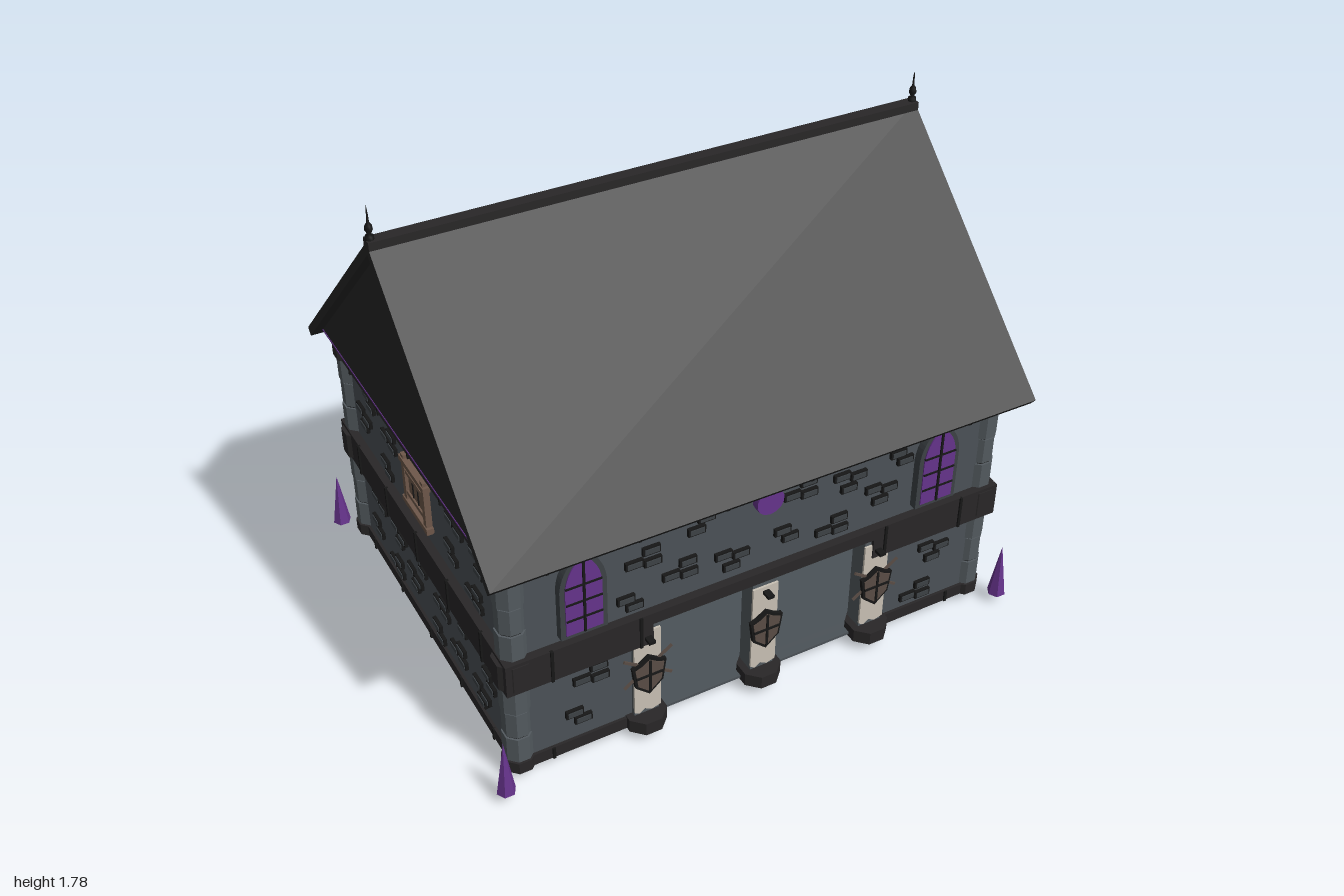
import * as THREE from 'three';
import { mergeGeometries } from 'three/addons/utils/BufferGeometryUtils.js';

const colour = (name, hex) => {
  const m = new THREE.MeshStandardMaterial({ color: hex });
  m.name = name;
  return m;
};

export function createModel() {
  const stone = colour('wall stone', 0x4b5257), brickMat = colour('brick grey', 0x3d4246);
  const corner = colour('corner stone', 0x535a5f), black = colour('seam black', 0x171717);
  const roofMat = colour('roof slate', 0x262626), beam = colour('dark beam', 0x292728);
  const purple = colour('purple', 0x66348c), cloth = colour('banner cloth', 0xc9c1b5);
  const wood = colour('wood', 0x6e584a), shieldMat = colour('shield brown', 0x5a4d45);
  const model = new THREE.Group();

  const add = (parent, name, geo, mat, x = 0, y = 0, z = 0) => {
    const m = new THREE.Mesh(geo, mat);
    m.name = name;
    m.position.set(x, y, z);
    parent.add(m);
    return m;
  };
  // box given by its limits
  const block = (parent, name, mat, x0, x1, y0, y1, z0, z1) =>
    add(parent, name, new THREE.BoxGeometry(x1 - x0, y1 - y0, z1 - z0), mat, (x0 + x1) / 2, (y0 + y1) / 2, (z0 + z1) / 2);
  const group = (name, x = 0, y = 0, z = 0, ry = 0) => {
    const g = new THREE.Group();
    g.name = name;
    g.position.set(x, y, z);
    g.rotation.y = ry;
    model.add(g);
    return g;
  };
  const polygon = pts => new THREE.Shape(pts.map(p => new THREE.Vector2(...p)));
  const extrude = (shape, depth) => new THREE.ExtrudeGeometry(shape, { depth, bevelEnabled: false, curveSegments: 10 });
  // profile drawn in (z, y), extruded along x and centred
  const alongX = (pts, length) => extrude(polygon(pts), length).translate(0, 0, -length / 2).rotateY(Math.PI / 2);

  // Walls: hollow, with a wide opening in the front
  const front = polygon([[-0.9, 0.05], [0.9, 0.05], [0.9, 0.9], [-0.9, 0.9]]);
  front.holes.push(new THREE.Path([[-0.42, 0.06], [-0.42, 0.48], [0.42, 0.48], [0.42, 0.06]].map(p => new THREE.Vector2(...p))));
  add(model, 'frontWall', extrude(front, 0.05), stone, 0, 0, 0.645);
  block(model, 'backWall', stone, -0.9, 0.9, 0.05, 0.9, -0.695, -0.645);
  for (const s of [-1, 1]) add(model, 'sideWall', new THREE.BoxGeometry(0.05, 0.85, 1.3), stone, s * 0.875, 0.475, 0);

  // Bricks: staggered clusters on every wall, each a dark edge with a grey face
  const edges = [], faces = [];
  const brick = (x, y, ry, off) => {
    const place = g => g.rotateY(ry);
    edges.push(place(new THREE.BoxGeometry(0.062, 0.03, 0.016).translate(x, y, off + 0.004)));
    faces.push(place(new THREE.BoxGeometry(0.05, 0.019, 0.02).translate(x, y, off + 0.005)));
  };
  const clusters = [[[0, 0], [0.03, -0.036]], [[0.03, 0.018], [-0.03, -0.018], [0.035, -0.03]], [[-0.03, 0.036], [0.035, 0.02], [0, -0.02]]];
  const brickWall = (half, ry, off, skip) => {
    const n = Math.round(half * 2 / 0.19);
    for (const [row, y] of [0.175, 0.325, 0.625, 0.775].entries())
      for (let i = 0; i < n; i++) {
        const x = (i + 0.5 - n / 2) * 0.19 + (row % 2 ? 0.03 : -0.03);
        const cy = y + (i % 2 ? -0.025 : 0.025);
        if (skip(x, cy)) continue;
        for (const [dx, dy] of clusters[(i + row) % 3])
          if (Math.abs(x + dx) < half) brick(x + dx, cy + dy, ry, off);
      }
  };
  brickWall(0.79, 0, 0.695, (x, y) => (y < 0.5 && Math.abs(x) < 0.54) || (y > 0.5 && Math.abs(Math.abs(x) - 0.66) < 0.13) || (y > 0.7 && Math.abs(x) < 0.09));
  brickWall(0.79, Math.PI, 0.695, () => false);
  brickWall(0.79, 0, -0.645, (x, y) => y > 0.5);
  for (const s of [-1, 1]) brickWall(0.59, s * Math.PI / 2, 0.9, (x, y) => y > 0.5 && Math.abs(x) < 0.15);
  add(model, 'brickEdges', mergeGeometries(edges), black);
  add(model, 'brickFaces', mergeGeometries(faces), brickMat);

  // Bands around the house with raised seams
  const bands = group('bands');
  for (const [y0, y1, out] of [[0.04, 0.085, 0.01], [0.4, 0.525, 0.03], [0.835, 0.915, 0.025]]) {
    const X = 0.9 + out, Z = 0.695 + out, mid = y0 === 0.4;
    block(bands, 'backBand', beam, -X, X, y0, y1, -Z, -0.62);
    for (const s of [-1, 1]) {
      add(bands, 'sideBand', new THREE.BoxGeometry(0.08, y1 - y0, 2 * Z), beam, s * (X - 0.04), (y0 + y1) / 2, 0);
      if (y1 < 0.6) add(bands, 'frontBand', new THREE.BoxGeometry(X - 0.42, y1 - y0, 0.08), beam, s * (X + 0.42) / 2, (y0 + y1) / 2, Z - 0.04);
      for (let i = -2; i <= 2; i++) add(bands, 'sideSeam', new THREE.BoxGeometry(0.012, y1 - y0, 0.01), black, s * X, (y0 + y1) / 2, i * 0.27);
      for (let i = -2.5; i <= 2.5; i++) {
        if (s > 0 && y1 < 0.6 && Math.abs(i) < 1.5) continue;
        add(bands, 'seam', new THREE.BoxGeometry(0.01, y1 - y0, 0.012), black, i * 0.31, (y0 + y1) / 2, s * Z);
      }
    }
    if (mid) block(bands, 'lintel', beam, -0.43, 0.43, 0.48, y1, 0.645, Z);
    if (y0 > 0.8) block(bands, 'topFrontBand', beam, -X, X, y0, y1, 0.645, Z);
  }

  // Eight-sided corner columns, spikes beside them
  const octagon = (apothem, h) => new THREE.CylinderGeometry(apothem / Math.cos(Math.PI / 8), apothem / Math.cos(Math.PI / 8), h, 8, 1, false, Math.PI / 8).toNonIndexed();
  const flat = g => { g.computeVertexNormals(); return g; };
  for (const sx of [-1, 1]) for (const sz of [-1, 1]) {
    const g = group('cornerColumn', sx * 0.88, 0, sz * 0.665);
    add(g, 'core', flat(octagon(0.041, 0.85)), black, 0, 0.475, 0);
    for (const [y0, y1] of [[0.085, 0.4], [0.525, 0.835]])
      for (let i = 0; i < 3; i++) {
        const h = (y1 - y0) / 3;
        add(g, 'quoin', flat(octagon(i % 2 ? 0.045 : 0.048, h - 0.006)), corner, 0, y0 + (i + 0.5) * h, 0);
      }
    add(g, 'foot', flat(octagon(0.053, 0.045)), beam, 0, 0.0625, 0);
    add(g, 'middleCollar', flat(octagon(0.063, 0.1)), beam, 0, 0.4625, 0);
    add(g, 'topCollar', flat(octagon(0.057, 0.08)), beam, 0, 0.875, 0);
    add(model, 'cornerSpike', flat(new THREE.ConeGeometry(0.033, 0.21, 6, 1, false, Math.PI / 6).toNonIndexed()), purple, sx * 0.968, 0.145, sz * 0.757);
  }

  // Roof shell, gable body, ridge and finials
  add(model, 'roof', alongX([[0, 1.655], [-0.79, 0.905], [-0.77, 0.88], [0, 1.612], [0.77, 0.88], [0.79, 0.905]], 1.97), roofMat);
  add(model, 'gables', alongX([[-0.69, 0.945], [0.69, 0.945], [0, 1.6]], 1.92), roofMat);
  block(model, 'gableTrim', purple, -0.962, 0.962, 0.941, 0.947, -0.69, 0.69);
  block(model, 'ridgeCap', beam, -0.985, 0.985, 1.63, 1.663, -0.022, 0.022);
  const finial = [[0.014, 0], [0.014, 0.015], [0.006, 0.022], [0.013, 0.035], [0.011, 0.05], [0.004, 0.06], [0.003, 0.085], [0, 0.117]];
  for (const s of [-1, 1])
    add(model, 'finial', new THREE.LatheGeometry(finial.map(p => new THREE.Vector2(...p)), 10), black, s * 0.972, 1.66, 0);

  // Pointed front windows
  const arch = (w, h, r) => {
    const s = new THREE.Shape();
    s.moveTo(-w, 0); s.lineTo(w, 0); s.lineTo(w, h - r);
    s.quadraticCurveTo(w * 0.9, h - r * 0.3, 0, h);
    s.quadraticCurveTo(-w * 0.9, h - r * 0.3, -w, h - r);
    return s;
  };
  for (const s of [-1, 1]) {
    const g = group('frontWindow', s * 0.66, 0.55, 0.69);
    add(g, 'frame', extrude(arch(0.08, 0.325, 0.13), 0.034), brickMat);
    add(g, 'glass', extrude(arch(0.063, 0.295, 0.12), 0.005), purple, 0, 0.015, 0.033);
    block(g, 'mullion', black, -0.004, 0.004, 0.015, 0.3, 0.03, 0.043);
    for (const y of [0.075, 0.14, 0.205]) block(g, 'glazingBar', black, -0.062, 0.062, y - 0.003, y + 0.003, 0.03, 0.042);
  }
  add(model, 'smallRoundWindow', new THREE.CylinderGeometry(0.05, 0.05, 0.03, 14).rotateX(Math.PI / 2), purple, 0, 0.81, 0.71);

  // Shuttered side windows
  for (const s of [-1, 1]) {
    const g = group('sideWindow', s * 0.9, 0.685, 0, s * Math.PI / 2);
    block(g, 'backing', shieldMat, -0.085, 0.085, -0.09, 0.09, 0, 0.008);
    for (const t of [-1, 1]) {
      block(g, 'jamb', wood, t * 0.085 - 0.012, t * 0.085 + 0.012, -0.108, 0.108, 0, 0.022);
      block(g, 'rail', wood, -0.108, 0.108, t * 0.085 - 0.01, t * 0.085 + 0.01, 0, 0.026);
      block(g, 'crossBar', wood, -0.072, 0.072, t * 0.045 - 0.008, t * 0.045 + 0.008, 0, 0.02);
    }
    for (const x of [-0.045, 0, 0.045]) {
      block(g, 'plank', wood, x - 0.017, x + 0.017, -0.068, 0.068, 0, 0.014);
      block(g, 'gap', black, x + 0.018, x + 0.023, -0.05, 0.05, 0, 0.016);
    }
  }

  // Banner pillars with shields
  const banner = polygon([[-0.048, 0.11], [-0.03, 0.1], [-0.01, 0.115], [0.015, 0.1], [0.048, 0.11], [0.048, 0.452], [-0.048, 0.452]]);
  const shield = k => polygon([[0, -0.085], [0.05, -0.04], [0.062, 0.045], [0.035, 0.055], [0, 0.08], [-0.035, 0.055], [-0.062, 0.045], [-0.05, -0.04]].map(p => [p[0] * k, p[1] * k]));
  for (const x of [-0.44, 0, 0.44]) {
    const g = group('bannerPillar', x, 0, 0.69);
    block(g, 'post', corner, -0.045, 0.045, 0.08, 0.48, -0.045, 0.022);
    add(g, 'base', flat(octagon(0.07, 0.05)), beam, 0, 0.065, 0.005);
    add(g, 'cloth', extrude(banner, 0.008), cloth, 0, 0, 0.022);
    add(g, 'shieldRim', extrude(shield(1), 0.014), black, 0, 0.275, 0.03);
    add(g, 'shieldFace', extrude(shield(0.84), 0.004), shieldMat, 0, 0.275, 0.043);
    block(g, 'shieldStrap', black, -0.004, 0.004, 0.205, 0.34, 0.04, 0.051);
    block(g, 'shieldBar', black, -0.05, 0.05, 0.274, 0.282, 0.04, 0.051);
    block(g, 'bannerPeg', black, -0.012, 0.012, 0.425, 0.437, 0.02, 0.065);
    if (x) for (const s of [-1, 1])
      add(g, 'crossedBlade', new THREE.BoxGeometry(0.21, 0.009, 0.006), shieldMat, 0, 0.3, 0.033).rotation.z = s * 0.6;
  }

  // Floor with dark panels underneath
  block(model, 'floor', stone, -0.9, 0.9, 0.045, 0.06, -0.69, 0.69);
  for (let i = 0; i < 4; i++) for (let j = 0; j < 3; j++) {
    const x = (i - 1.5) * 0.44, z = (j - 1) * 0.455;
    add(model, 'underPanel', new THREE.BoxGeometry(0.434, 0.008, 0.449), beam, x, 0.042, z);
    for (const dx of [-0.11, 0.11]) for (const dz of [-0.11, 0.11])
      add(model, 'diamondTile', new THREE.BoxGeometry(0.1, 0.006, 0.1).rotateY(Math.PI / 4), brickMat, x + dx, 0.0405, z + dz).scale.y = 0.9;
  }
  for (const z of [-0.28, -0.22]) block(model, 'underRail', black, -0.45, 0.4, 0.03, 0.045, z - 0.012, z + 0.012);

  // Low benches whose splayed legs reach the ground
  for (const s of [-1, 1]) {
    const g = group('bench', s * 0.76, 0, -0.08);
    block(g, 'seat', wood, -0.04, 0.04, 0.065, 0.1, -0.105, 0.105);
    block(g, 'stretcher', wood, -0.012, 0.012, 0.028, 0.04, -0.105, 0.105);
    for (const z of [-0.08, 0.08])
      add(g, 'leg', new THREE.BoxGeometry(0.016, 0.075, 0.018), wood, s * 0.006, 0.039, z).rotation.z = s * 0.45;
    block(model, 'floorHatch', shieldMat, s * 0.65 - 0.05, s * 0.65 + 0.05, 0.034, 0.045, -0.53, -0.44);
  }

  // Interior: round window on the back wall, cloth-topped rail before it
  const round = group('roundWindow', 0, 0.34, -0.615);
  add(round, 'ring', new THREE.TorusGeometry(0.165, 0.014, 6, 28), black);
  add(round, 'disc', new THREE.CircleGeometry(0.165, 28), purple);
  for (const x of [-0.1, 0, 0.1]) block(round, 'bar', black, x - 0.004, x + 0.004, -0.13, 0.13, 0, 0.006);
  block(model, 'counterCloth', purple, -0.38, 0.38, 0.193, 0.207, -0.61, -0.52);
  block(model, 'counterEdge', black, -0.38, 0.38, 0.175, 0.185, -0.6, -0.53);
  block(model, 'rail', black, -0.38, 0.38, 0.334, 0.342, -0.6, -0.59);
  for (const x of [-0.32, -0.215, 0.215, 0.32]) block(model, 'railPost', black, x - 0.003, x + 0.003, 0.06, 0.34, -0.6, -0.59);

  return model;
}
